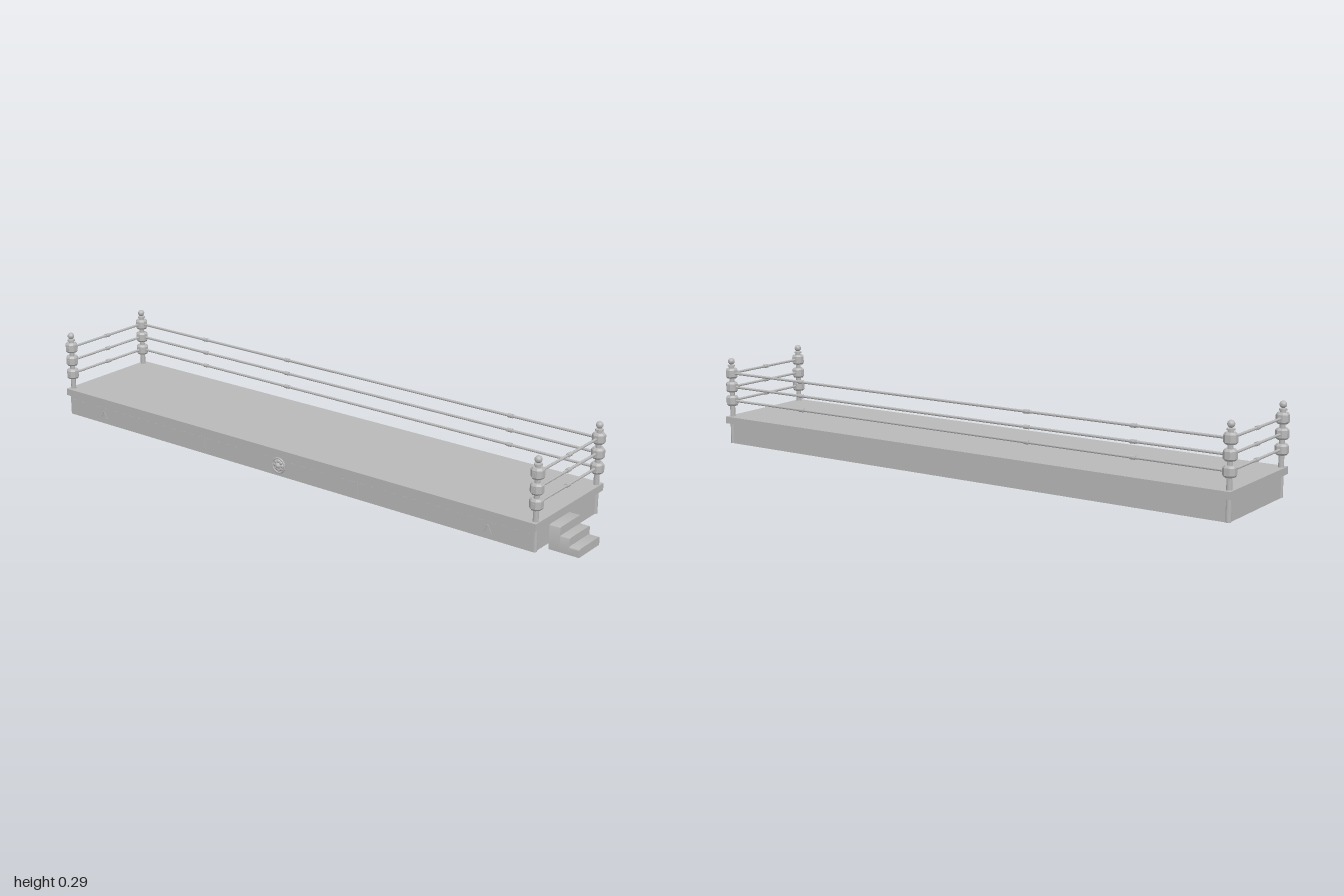
import * as THREE from 'three';
import { toCreasedNormals } from 'three/addons/utils/BufferGeometryUtils.js';

export function createModel() {
  const root = new THREE.Group();
  root.name = 'ringStage';
  const grey = new THREE.MeshStandardMaterial({ color: 0xb8b8b8 });
  grey.name = 'plainGrey';

  const add = (name, geometry, x, y, z, parent = root) => {
    const mesh = new THREE.Mesh(toCreasedNormals(geometry, 0.6), grey);
    mesh.name = name;
    mesh.position.set(x, y, z);
    parent.add(mesh);
    return mesh;
  };
  // Box given by its minimum and maximum corners
  const block = (name, a, b, parent = root) => add(name,
    new THREE.BoxGeometry(b[0] - a[0], b[1] - a[1], b[2] - a[2]),
    (a[0] + b[0]) / 2, (a[1] + b[1]) / 2, (a[2] + b[2]) / 2, parent);
  const lathe = (pts, sides, start = 0) => new THREE.LatheGeometry(
    pts.map(p => new THREE.Vector2(p[0], p[1])), sides, start);

  const left = 0.876, right = -0.982, front = 0.171, back = -0.174;
  const mid = (left + right) / 2;
  const ropeHeights = [0.147, 0.194, 0.241];

  // Platform
  block('base', [-0.987, 0, -0.18], [0.88, 0.071, 0.18]);
  block('deck', [-0.996, 0.07, -0.195], [0.889, 0.093, 0.191]);

  // Corner posts with padded blocks and ball caps
  const padShape = [[0, -0.017], [0.016, -0.017], [0.0209, -0.011],
    [0.0209, 0.011], [0.016, 0.017], [0, 0.017]];
  for (const x of [right, left]) for (const z of [front, back]) {
    const post = new THREE.Group();
    post.name = 'cornerPost';
    post.position.set(x, 0, z);
    root.add(post);
    add('pole', new THREE.CylinderGeometry(0.0085, 0.0085, 0.268, 16), 0, 0.134, 0, post);
    add('collar', new THREE.CylinderGeometry(0.0125, 0.0125, 0.005, 16), 0, 0.2665, 0, post);
    add('ballCap', new THREE.SphereGeometry(0.0112, 16, 12), 0, 0.2815, 0, post);
    for (const y of ropeHeights) {
      add('pad', lathe(padShape, 8, Math.PI / 8), 0, y, 0, post);
      if (z === front) {
        const bolt = add('padBolt', new THREE.CylinderGeometry(0.006, 0.006, 0.004, 10), 0, y, 0.019, post);
        bolt.rotation.x = Math.PI / 2;
      }
    }
  }

  // Ropes along the back and both ends, with couplings
  const rod = (name, r, length, alongX, x, y, z) => {
    const m = add(name, new THREE.CylinderGeometry(r, r, length, 10), x, y, z);
    if (alongX) m.rotation.z = Math.PI / 2;
    else m.rotation.x = Math.PI / 2;
  };
  for (const y of ropeHeights) {
    rod('backRope', 0.0042, left - right, true, mid, y, back);
    for (const x of [-0.675, -0.31, 0.57]) rod('backCoupling', 0.0065, 0.018, true, x, y, back);
    for (const x of [right, left]) {
      rod('endRope', 0.0042, front - back, false, x, y, (front + back) / 2);
      rod('endCoupling', 0.0065, 0.018, false, x, y, (front + back) / 2);
    }
  }

  // Front skirt in three panels with a stitched upper edge
  const panelWidth = (0.88 + 0.987) / 3;
  for (let i = 0; i < 3; i++) {
    const x0 = -0.987 + i * panelWidth;
    block('skirtPanel', [x0 + 0.0015, 0.002, 0.179], [x0 + panelWidth - 0.0015, 0.068, 0.1835]);
    for (let j = 0; j < 16; j++) {
      const x = x0 + (j + 0.5) * panelWidth / 16;
      block('stitch', [x - 0.008, 0.055, 0.183], [x + 0.008, 0.057, 0.1842]);
    }
  }
  // Small chevrons on the outer panels
  for (const cx of [-0.825, 0.725]) for (const s of [-1, 1]) {
    const bar = add('chevronBar', new THREE.BoxGeometry(0.003, 0.028, 0.002), cx + s * 0.007, 0.033, 0.184);
    bar.rotation.z = s * 0.45;
  }

  // Plain rosette in the middle of the skirt
  const rosette = new THREE.Group();
  rosette.name = 'rosette';
  rosette.position.set(mid, 0.038, 0.1835);
  root.add(rosette);
  add('rosetteRing', new THREE.TorusGeometry(0.024, 0.003, 8, 28), 0, 0, 0.002, rosette);
  for (let i = 0; i < 8; i++) {
    const a = i * Math.PI / 4;
    const petal = add('petal', new THREE.SphereGeometry(0.0075, 10, 8),
      Math.cos(a) * 0.014, Math.sin(a) * 0.014, 0.001, rosette);
    petal.scale.z = 0.7;
  }
  add('rosetteHub', new THREE.SphereGeometry(0.01, 14, 10), 0, 0, 0.002, rosette);

  // Steps at the left end: round-shouldered treads
  const tread = (x0, x1, h, r = 0.006) => {
    const w = 0.0575;
    const s = new THREE.Shape();
    s.moveTo(-w, 0);
    s.lineTo(w, 0);
    s.lineTo(w, h - r);
    s.quadraticCurveTo(w, h, w - r, h);
    s.lineTo(-w + r, h);
    s.quadraticCurveTo(-w, h, -w, h - r);
    s.closePath();
    const g = new THREE.ExtrudeGeometry(s, { depth: x1 - x0, bevelEnabled: false, curveSegments: 4 });
    g.rotateY(Math.PI / 2);
    add('step', g, x0, 0, 0.0765);
  };
  tread(0.9, 0.936, 0.077);
  tread(0.936, 0.967, 0.051);
  tread(0.967, 1.0, 0.026);

  return root;
}
